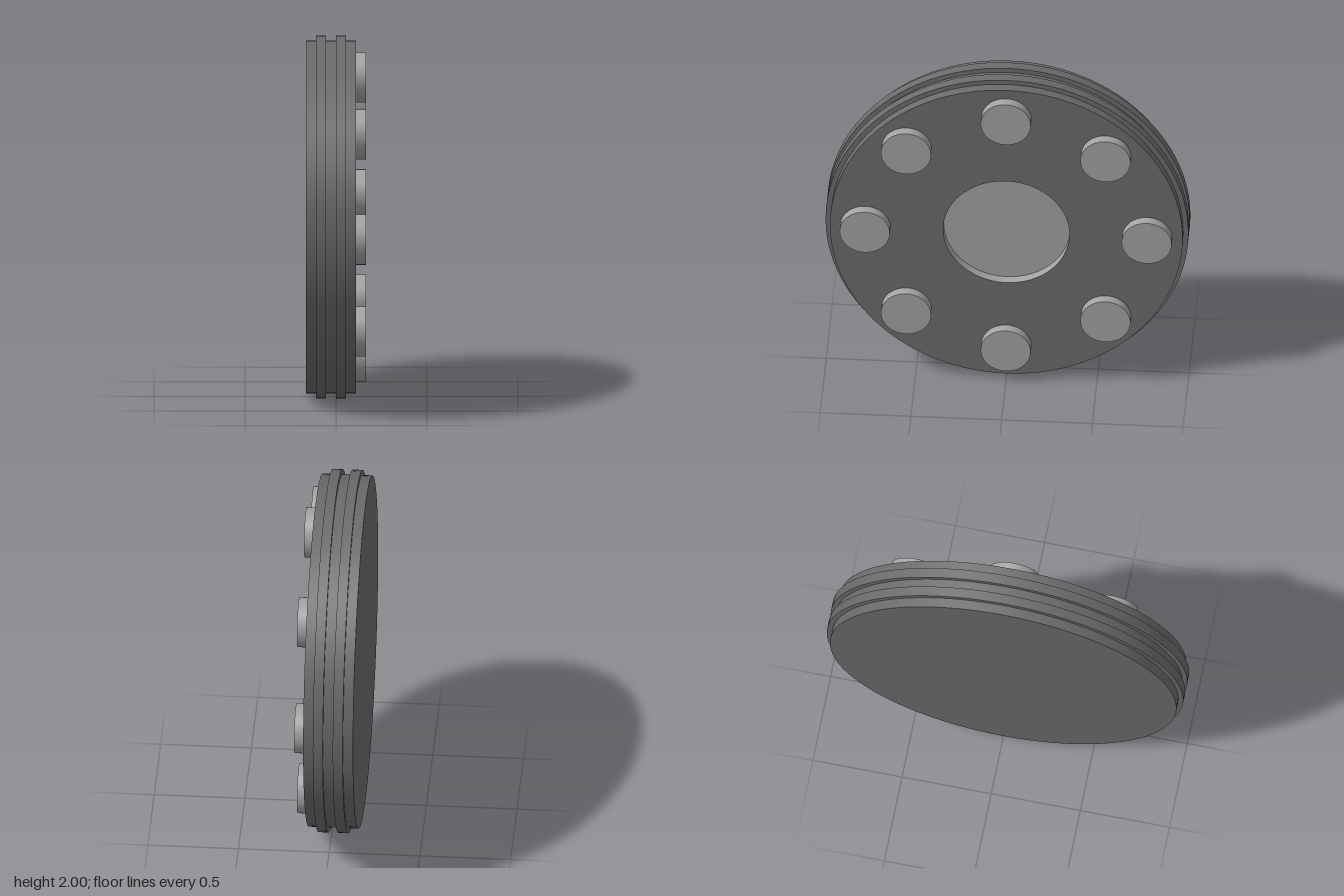
import * as THREE from 'three';
import { toCreasedNormals } from 'three/addons/utils/BufferGeometryUtils.js';

const SEGMENTS = 96;

export function createModel() {
  const darkGrey = new THREE.MeshStandardMaterial({ color: 0x6b6b6b });
  const lightGrey = new THREE.MeshStandardMaterial({ color: 0xa3a3a3 });

  // The disc is built around y, then its axis is turned to +x
  const wheel = new THREE.Group();
  wheel.name = 'discAssembly';
  wheel.rotation.z = -Math.PI / 2;
  wheel.position.y = 1;

  const add = (name, geometry, material) => {
    const mesh = new THREE.Mesh(geometry, material);
    mesh.name = name;
    wheel.add(mesh);
    return mesh;
  };

  // Revolve a [radius, height] profile, keeping its corners sharp
  const revolve = (profile) => toCreasedNormals(
    new THREE.LatheGeometry(profile.map(([r, h]) => new THREE.Vector2(r, h)), SEGMENTS), 0.5);

  // Body: back face, rim with two raised ridges, front face with round opening
  const step = 0.055, rim = 0.972, ridge = 1, recess = 0.348;
  add('ridgedBody', revolve([
    [0, -3 * step],
    [rim, -3 * step], [rim, -2 * step],
    [ridge, -2 * step], [ridge, -step],
    [rim, -step], [rim, 0],
    [ridge, 0], [ridge, step],
    [rim, step], [rim, 2 * step],
    [recess, 2 * step],
  ]), darkGrey);

  // Recessed centre: wall and floor
  add('centreRecess', revolve([[recess, 2 * step], [recess, step], [0, step]]), lightGrey);

  // Ring of eight studs
  const stud = new THREE.CylinderGeometry(0.138, 0.138, step, 48);
  for (let i = 0; i < 8; i++) {
    const angle = i * Math.PI / 4;
    add('stud' + (i + 1), stud, lightGrey)
      .position.set(0.777 * Math.cos(angle), 2.5 * step, 0.777 * Math.sin(angle));
  }

  const model = new THREE.Group();
  model.name = 'studdedDisc';
  model.add(wheel);
  return model;
}
